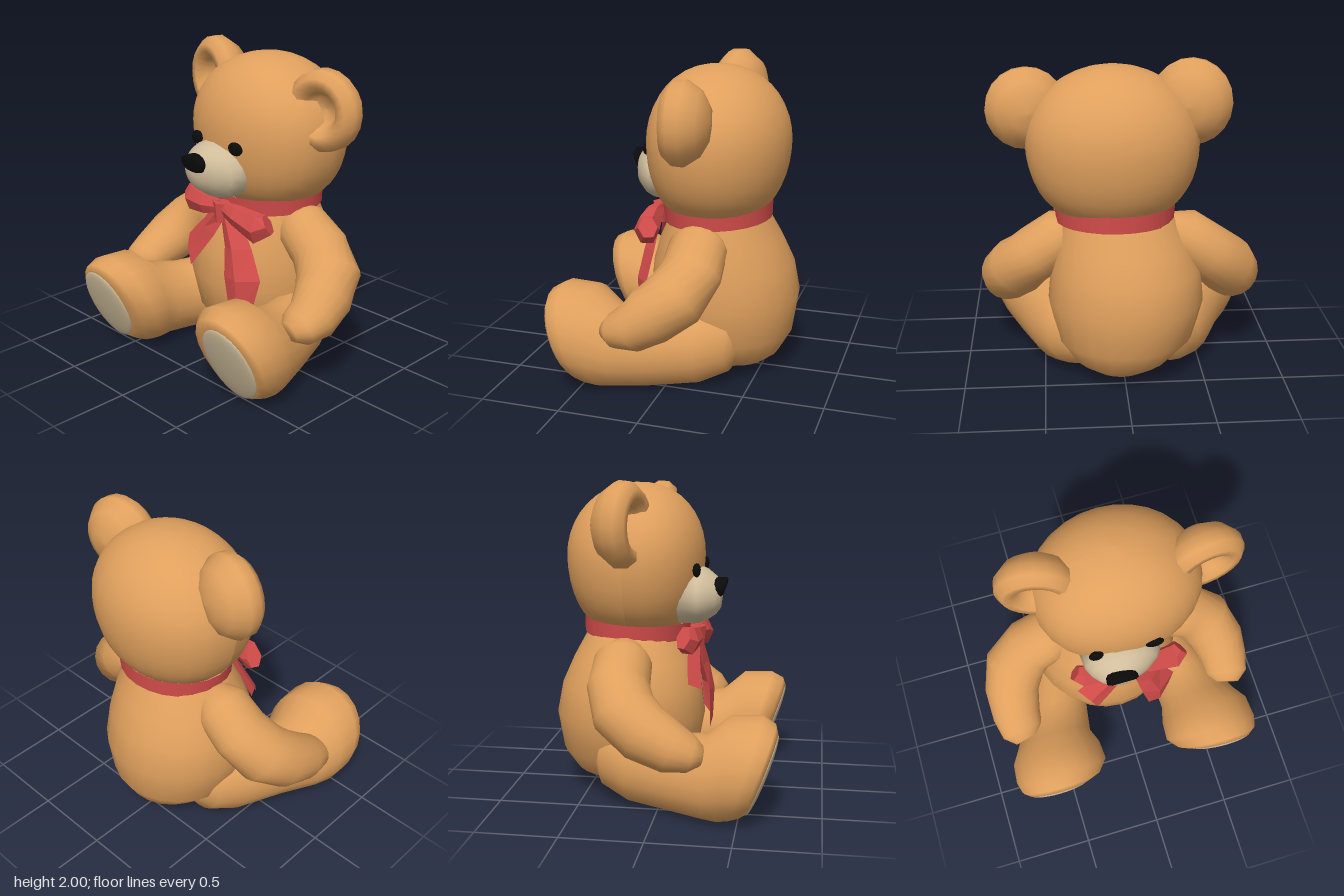
import * as THREE from 'three';

const mat = (name, color, extra = {}) => {
  const m = new THREE.MeshStandardMaterial({ color, ...extra });
  m.name = name;
  return m;
};

// Skin through elliptical sections [x, y, z, halfWidth, halfHeight, tilt].
// Without a tilt, a section faces along the path. Both ends are closed.
function loft(sections, n = 18) {
  const v = sections.map(s => new THREE.Vector3(s[0], s[1], s[2]));
  const rings = sections.map((s, i) => {
    const d = v[Math.min(i + 1, v.length - 1)].clone().sub(v[Math.max(i - 1, 0)]).normalize();
    const tilt = s[5] ?? -Math.asin(d.y);
    const yaw = s[5] === undefined ? Math.atan2(d.x, d.z) : 0;
    return { c: v[i], a: s[3], b: s[4], e: new THREE.Euler(tilt, yaw, 0, 'YXZ') };
  });
  rings.unshift({ ...rings[0], a: 0, b: 0 });
  rings.push({ ...rings[rings.length - 1], a: 0, b: 0 });
  const pos = [], idx = [];
  rings.forEach((r, i) => {
    for (let j = 0; j < n; j++) {
      const t = (j / n) * Math.PI * 2;
      const p = new THREE.Vector3(r.a * Math.cos(t), r.b * Math.sin(t), 0).applyEuler(r.e).add(r.c);
      pos.push(p.x, Math.max(p.y, 0), p.z);
      if (i < rings.length - 1) {
        const a = i * n + j, b = i * n + (j + 1) % n;
        idx.push(a, b, b + n, a, b + n, a + n);
      }
    }
  });
  const g = new THREE.BufferGeometry();
  g.setAttribute('position', new THREE.Float32BufferAttribute(pos, 3));
  g.setIndex(idx);
  g.computeVertexNormals();
  return g;
}

// Faceted copy of a geometry
function faceted(g) {
  const f = g.toNonIndexed();
  f.computeVertexNormals();
  return f;
}

// Open strip through rows of three points: left edge, fold, right edge
function ribbon(rows) {
  const idx = [];
  for (let i = 0; i < rows.length - 1; i++) {
    for (let j = 0; j < 2; j++) {
      const a = i * 3 + j;
      idx.push(a, a + 3, a + 1, a + 1, a + 3, a + 4);
    }
  }
  const g = new THREE.BufferGeometry();
  g.setAttribute('position', new THREE.Float32BufferAttribute(rows.flat(2), 3));
  g.setIndex(idx);
  return faceted(g);
}

export function createModel() {
  const bear = new THREE.Group();
  bear.name = 'teddyBear';
  const fur = mat('caramel fur', 0xe0a05d);
  const cream = mat('cream felt', 0xd0bd9b);
  const black = mat('black', 0x0b0b0b);
  const red = mat('red ribbon', 0xd24c4a, { side: THREE.DoubleSide });
  const add = (name, geo, material, p = [0, 0, 0]) => {
    const m = new THREE.Mesh(geo, material);
    m.name = name;
    m.position.set(...p);
    bear.add(m);
    return m;
  };
  const blob = (name, material, p, r) => {
    const m = add(name, new THREE.SphereGeometry(1, 16, 12), material, p);
    m.scale.set(...r);
    return m;
  };

  // Pear-shaped body with a rounded seat
  const up = -Math.PI / 2;
  add('body', loft([
    [0.03, 0.035, -0.34, 0.07, 0.09, up], [0.02, 0.06, -0.31, 0.2, 0.22, up],
    [0.01, 0.12, -0.27, 0.32, 0.34, up], [-0.01, 0.26, -0.25, 0.44, 0.44, up],
    [-0.02, 0.5, -0.245, 0.49, 0.48, up], [-0.02, 0.7, -0.235, 0.47, 0.45, up],
    [0, 0.86, -0.225, 0.42, 0.39, up], [0.02, 1.0, -0.22, 0.36, 0.32, up],
    [0.04, 1.12, -0.22, 0.3, 0.27, up],
  ], 24), fur);

  // Head: fuller cheeks and jaw, flatter face
  const headGeo = new THREE.SphereGeometry(1, 28, 20);
  const hp = headGeo.attributes.position;
  for (let i = 0; i < hp.count; i++) {
    const y = hp.getY(i), z = hp.getZ(i);
    const r = Math.sqrt(Math.max(1 - y * y, 0.0001));
    const jaw = y < 0 ? Math.pow(r, -0.35) : 1;
    const depth = z > 0 ? Math.pow(z, 0.85) : z;
    hp.setXYZ(i, hp.getX(i) * 0.53 * jaw, y * (y < 0 ? 0.49 : 0.46), depth * 0.44 * jaw);
  }
  headGeo.computeVertexNormals();
  add('head', headGeo, fur, [0.06, 1.5, -0.22]);

  // Ears: domed behind, hollow in front
  const earProfile = [[0, -0.15], [0.1, -0.14], [0.19, -0.09], [0.25, 0], [0.245, 0.07],
    [0.2, 0.12], [0.15, 0.12], [0.11, 0.07], [0.08, 0.01], [0, 0]]
    .map(p => new THREE.Vector2(...p));
  const earGeo = new THREE.LatheGeometry(earProfile, 20).rotateX(Math.PI / 2);
  const rightEar = add('rightEar', earGeo, fur, [-0.41, 1.735, -0.24]);
  rightEar.rotation.y = -0.24;
  rightEar.scale.y = 1.05;
  add('leftEar', earGeo, fur, [0.575, 1.69, -0.16]).rotation.y = 0.1;

  // Face
  add('muzzle', loft([
    [-0.015, 1.265, 0.08, 0.25, 0.185, 0], [-0.015, 1.265, 0.2, 0.24, 0.182, 0],
    [-0.02, 1.265, 0.25, 0.21, 0.16, 0], [-0.035, 1.265, 0.305, 0.145, 0.12, 0],
    [-0.05, 1.27, 0.335, 0.08, 0.08, 0], [-0.05, 1.28, 0.342, 0.04, 0.04, 0],
  ], 20), cream);
  add('nose', loft([
    [-0.06, 1.325, 0.27, 0.09, 0.055, 0.2], [-0.06, 1.318, 0.35, 0.1, 0.068, 0.3],
    [-0.058, 1.322, 0.364, 0.075, 0.05, 0.3],
  ], 14), black);
  blob('rightEye', black, [-0.18, 1.44, 0.195], [0.045, 0.043, 0.025]).rotation.z = 0.4;
  blob('leftEye', black, [0.178, 1.437, 0.212], [0.058, 0.042, 0.022]);

  // Arms and legs
  for (const s of [1, -1]) {
    const side = s > 0 ? 'left' : 'right';
    const dz = s > 0 ? 0.02 : -0.03;
    add(side + 'Arm', loft([
      [0.24 * s, 0.94, -0.2 + dz, 0.1, 0.1], [0.38 * s, 0.89, -0.2 + dz, 0.18, 0.165],
      [0.53 * s, 0.78, -0.2 + dz, 0.19, 0.175], [0.66 * s, 0.66, -0.14 + dz, 0.2, 0.19],
      [0.725 * s, 0.56, -0.01 + dz, 0.18, 0.18], [0.74 * s, 0.48, 0.12, 0.16, 0.15],
      [0.73 * s, 0.45, 0.23, 0.14, 0.11], [0.715 * s, 0.435, 0.29, 0.08, 0.06],
    ]), fur);
    const fx = s > 0 ? 0.52 : -0.55;
    add(side + 'Leg', loft([
      [0.27 * s, 0.28, -0.43, 0.08, 0.1, 0], [0.3 * s, 0.27, -0.37, 0.18, 0.19, 0],
      [0.36 * s, 0.25, -0.2, 0.22, 0.24, 0], [0.47 * s, 0.235, 0.1, 0.22, 0.24, 0],
      [fx - 0.01 * s, 0.25, 0.3, 0.26, 0.26, 0.05], [fx, 0.305, 0.41, 0.305, 0.325, 0.12],
      [fx, 0.315, 0.54, 0.315, 0.335, 0.3], [fx + 0.02 * s, 0.305, 0.61, 0.275, 0.305, 0.36],
      [fx + 0.04 * s, 0.295, 0.638, 0.215, 0.265, 0.36],
    ], 20), fur);
    // Softly domed felt foot pad
    const pad = add(side + 'FootPad', new THREE.SphereGeometry(1, 24, 8, 0, Math.PI * 2, 0, Math.PI / 2)
      .rotateX(Math.PI / 2), cream, [fx + 0.045 * s, 0.292, 0.636]);
    pad.scale.set(0.207, 0.267, 0.03);
    pad.rotation.x = 0.36;
  }

  // Neck ribbon
  const collar = add('neckRibbon', new THREE.CylinderGeometry(1, 0.98, 0.105, 24, 1, true), red, [0.045, 1.055, -0.21]);
  collar.scale.set(0.375, 1, 0.345);
  collar.rotation.x = 0.05;

  // Bow: two loops, knot and two folded tails lying on the belly
  add('rightBowLoop', faceted(loft([
    [0, 1.02, 0.18, 0.03, 0.045], [-0.12, 1.01, 0.18, 0.055, 0.07],
    [-0.26, 1.015, 0.155, 0.07, 0.095], [-0.31, 1.04, 0.13, 0.05, 0.075],
  ], 6)), red);
  add('leftBowLoop', faceted(loft([
    [0.03, 1.02, 0.18, 0.03, 0.045], [0.16, 1.0, 0.185, 0.06, 0.07],
    [0.33, 0.955, 0.17, 0.08, 0.1], [0.39, 0.99, 0.14, 0.06, 0.07],
  ], 6)), red);
  const knot = add('bowKnot', faceted(new THREE.CylinderGeometry(0.06, 0.045, 0.13, 6)), red, [0.02, 0.99, 0.18]);
  knot.scale.z = 0.9;
  add('rightBowTail', ribbon([
    [[-0.08, 1.0, 0.15], [-0.01, 0.98, 0.2], [0.03, 0.94, 0.17]],
    [[-0.18, 0.89, 0.14], [-0.11, 0.86, 0.21], [-0.03, 0.82, 0.2]],
    [[-0.31, 0.75, 0.16], [-0.24, 0.7, 0.24], [-0.2, 0.58, 0.25]],
  ]), red);
  add('leftBowTail', ribbon([
    [[0, 0.98, 0.17], [0.06, 0.99, 0.2], [0.13, 0.99, 0.14]],
    [[0.08, 0.78, 0.21], [0.17, 0.79, 0.24], [0.26, 0.79, 0.15]],
    [[0.115, 0.6, 0.25], [0.23, 0.6, 0.27], [0.355, 0.61, 0.17]],
    [[0.165, 0.34, 0.25], [0.24, 0.39, 0.26], [0.32, 0.45, 0.19]],
  ]), red);

  return bear;
}
